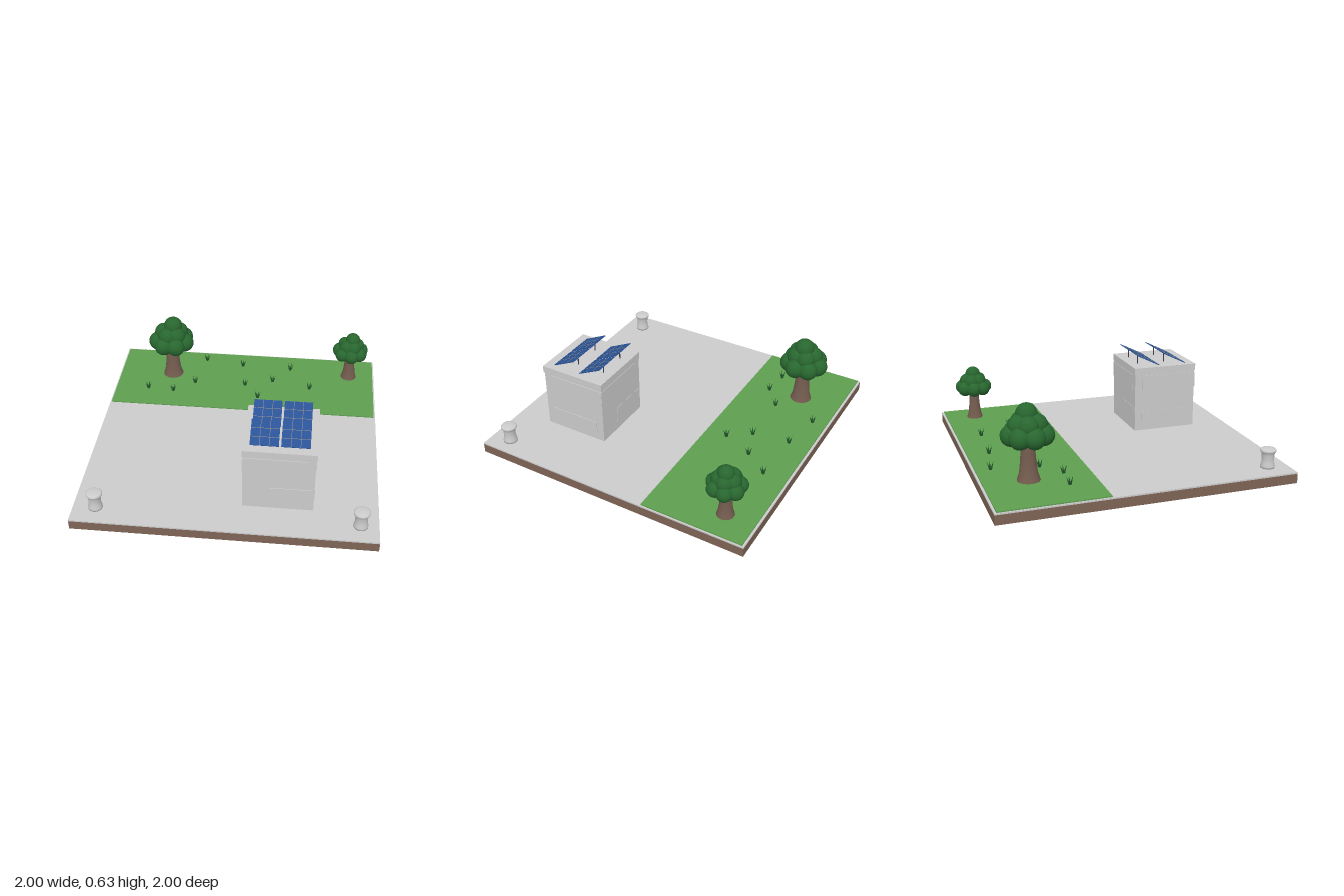
import * as THREE from 'three';

const mat = (color, extra = {}) => new THREE.MeshStandardMaterial({ color, ...extra });
const GREY = mat(0xcccccc), SOIL = mat(0x7d6455), GRASS = mat(0x5f9e50), LEAF = mat(0x28662f);
const BARK = mat(0x745c4f), BLUE = mat(0x2a5296), LINE = mat(0x8c8a84), DARK = mat(0x3a4048);
const PLANT = mat(0x24562c);

function add(parent, name, geometry, material, x = 0, y = 0, z = 0) {
  const mesh = new THREE.Mesh(geometry, material);
  mesh.name = name;
  mesh.position.set(x, y, z);
  parent.add(mesh);
  return mesh;
}

// Box given by its min and max corners
function block(parent, name, material, [x0, y0, z0], [x1, y1, z1]) {
  return add(parent, name, new THREE.BoxGeometry(x1 - x0, y1 - y0, z1 - z0), material,
    (x0 + x1) / 2, (y0 + y1) / 2, (z0 + z1) / 2);
}

function group(parent, name, x = 0, y = 0, z = 0) {
  const g = new THREE.Group();
  g.name = name;
  g.position.set(x, y, z);
  parent.add(g);
  return g;
}

const lathe = (points, segments = 24) =>
  new THREE.LatheGeometry(points.map(([r, y]) => new THREE.Vector2(r, y)), segments);

// Flared trunk with rings of round leaf clumps; s scales the tree
function tree(parent, name, x, z, s, turn, count) {
  const t = group(parent, name, x, 0.08, z);
  add(t, 'trunk', lathe([[0.078, 0], [0.062, 0.05], [0.053, 0.12], [0.047, 0.2], [0.045, 0.33], [0, 0.33]].map(
    ([r, y]) => [r * s, y * s]), 16), BARK);
  const clump = new THREE.SphereGeometry(0.07 * s, 20, 14);
  const ring = (n, radius, y, start) => {
    for (let i = 0; i < n; i++) {
      const a = start + (i / n) * Math.PI * 2;
      add(t, 'leafClump', clump, LEAF, Math.cos(a) * radius * s, y * s, Math.sin(a) * radius * s);
    }
  };
  ring(count, 0.105, 0.31, turn);
  ring(5, 0.06, 0.375, turn + 0.5);
  add(t, 'leafClump', clump, LEAF, 0.015 * s, 0.44 * s, 0);
}

// Tilted solar panel, low edge at the front, standing on one rear post
function solarPanel(parent, x, zFront) {
  const w = 0.185, depth = 0.165, rise = 0.08, len = Math.hypot(depth, rise);
  const p = group(parent, 'solarPanel', x, 0.55, zFront);
  const face = group(p, 'panelFace', 0, rise / 2 + 0.001, -depth / 2);
  face.rotation.x = Math.atan2(rise, depth);
  add(face, 'cells', new THREE.BoxGeometry(w, 0.005, len), BLUE);
  for (let i = 1; i < 3; i++) {
    add(face, 'gridLine', new THREE.BoxGeometry(0.003, 0.001, len), LINE, -w / 2 + (w * i) / 3, 0.003, 0);
    add(face, 'gridLine', new THREE.BoxGeometry(w, 0.001, 0.003), LINE, 0, 0.003, -len / 2 + (len * i) / 3);
  }
  add(p, 'post', new THREE.CylinderGeometry(0.004, 0.004, 0.064, 8), DARK, 0, 0.032, -0.135);
}

// Small tuft of leaves that lean outward
function tuft(parent, x, z) {
  const g = group(parent, 'grassTuft', x, 0.082, z);
  const blade = new THREE.ConeGeometry(0.007, 0.058, 6).translate(0, 0.029, 0);
  for (let i = 0; i < 5; i++) {
    const arm = group(g, 'bladeArm');
    arm.rotation.y = (i / 5) * Math.PI * 2;
    const b = add(arm, 'blade', blade, PLANT, 0.003, 0, 0);
    b.rotation.z = -0.36;
  }
}

export function createModel() {
  const root = new THREE.Group();
  root.name = 'gardenPlot';

  // Ground layers
  block(root, 'soil', SOIL, [-1, 0, -1], [1, 0.065, 1]);
  block(root, 'pavement', GREY, [-1, 0.065, -1], [1, 0.075, 1]);
  block(root, 'lawn', GRASS, [-0.99, 0.075, -0.985], [0.99, 0.083, -0.27]);

  // Square building with a flat roof
  const house = group(root, 'building');
  block(house, 'walls', GREY, [0.106, 0.075, 0.286], [0.572, 0.5, 0.752]);
  block(house, 'roof', GREY, [0.102, 0.5, 0.282], [0.578, 0.55, 0.758]);

  // Window band and low panel, repeated on opposite sides by a half turn
  for (const turn of [0, Math.PI]) {
    const sides = group(house, 'wallPanels', 0.34, 0, 0.52);
    sides.rotation.y = turn;
    block(sides, 'windowBand', GREY, [-0.235, 0.375, 0.22], [0.18, 0.49, 0.237]);
    block(sides, 'windowBand', GREY, [0.22, 0.375, -0.235], [0.237, 0.49, 0.18]);
    block(sides, 'lowPanel', GREY, [-0.06, 0.13, 0.22], [0.22, 0.25, 0.236]);
    block(sides, 'lowPanel', GREY, [0.22, 0.13, -0.18], [0.236, 0.22, 0.18]);
  }

  // Four roof panels
  for (const x of [0.2375, 0.4375]) for (const z of [0.695, 0.488]) solarPanel(house, x, z);

  // Trees
  tree(root, 'largeTree', -0.58, -0.69, 1.0, 0.25, 7);
  tree(root, 'smallTree', 0.8, -0.775, 0.78, 0.6, 7);

  // Bins with a narrow waist and a rounded lid
  const bin = lathe([[0, 0], [0.048, 0], [0.048, 0.012], [0.042, 0.035], [0.04, 0.06], [0.042, 0.09],
    [0.046, 0.108], [0.053, 0.112], [0.054, 0.122], [0.048, 0.129], [0.025, 0.133], [0, 0.134]], 28);
  for (const x of [-0.85, 0.88]) add(root, 'bin', bin, GREY, x, 0.075, 0.86);

  // Tufts scattered over the lawn
  for (const [x, z] of [[-0.335, -0.885], [-0.04, -0.835], [0.34, -0.815], [-0.39, -0.57], [0, -0.575],
    [0.21, -0.645], [0.5, -0.575], [-0.74, -0.465], [-0.545, -0.45], [0.11, -0.425]]) tuft(root, x, z);

  return root;
}
